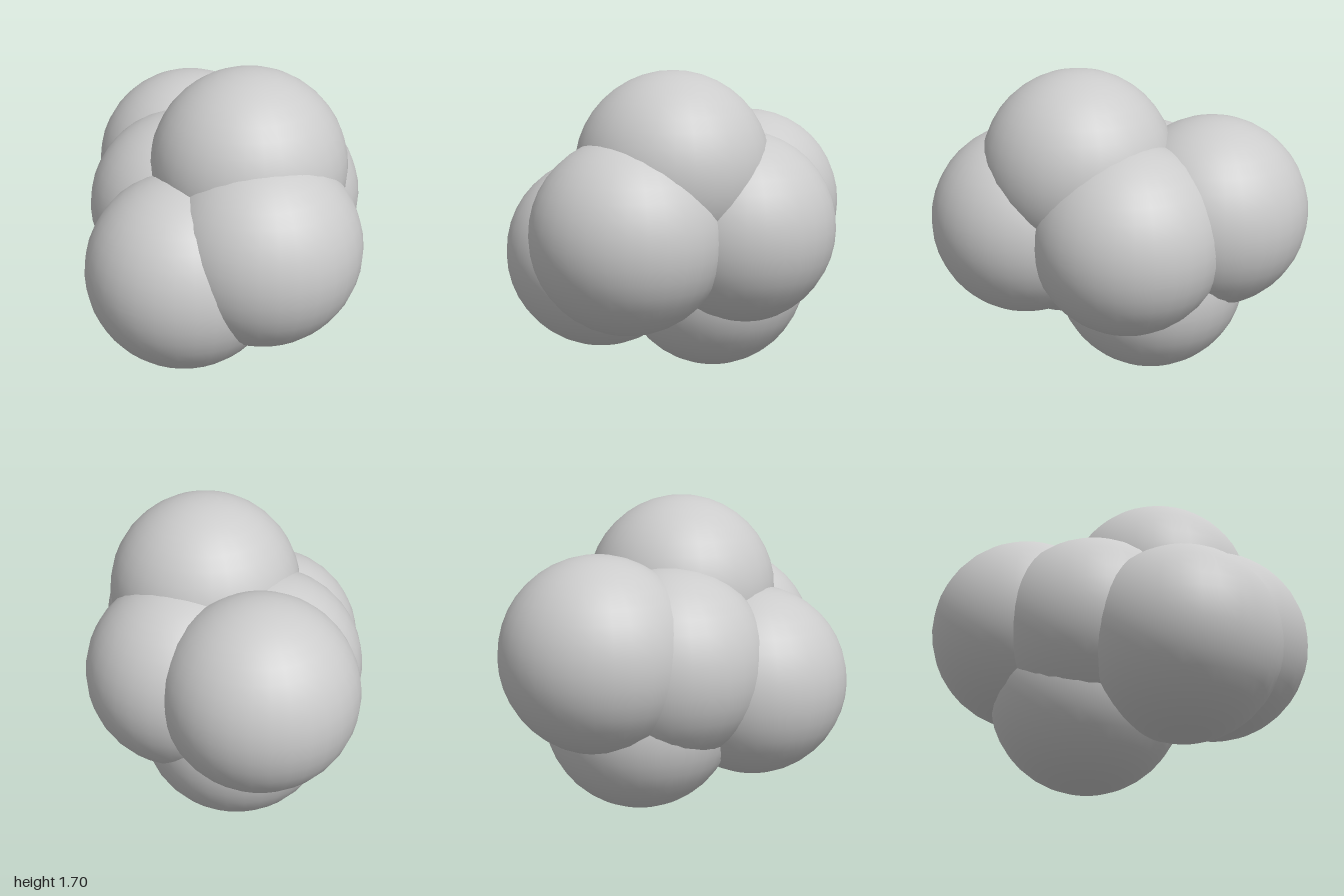
import * as THREE from 'three';

// Cluster of equal, overlapping balls
const RADIUS = 0.53;
const BALLS = {
  topBall: [0.14, 1.17, 0.17],
  frontLeftBall: [0.225, 0.84, 0.465],
  frontRightBall: [-0.19, 0.685, 0.46],
  leftBall: [0.225, 0.84, -0.19],
  rightBall: [-0.225, 0.83, -0.05],
  backBall: [-0.225, 0.91, -0.47],
  bottomBall: [-0.07, 0.53, -0.17],
};

export function createModel() {
  const group = new THREE.Group();
  group.name = 'ballCluster';
  const material = new THREE.MeshStandardMaterial({ color: 0xcccccc });
  const geometry = new THREE.SphereGeometry(RADIUS, 32, 20);
  for (const [name, position] of Object.entries(BALLS)) {
    const ball = new THREE.Mesh(geometry, material);
    ball.name = name;
    ball.position.set(...position);
    group.add(ball);
  }
  return group;
}
